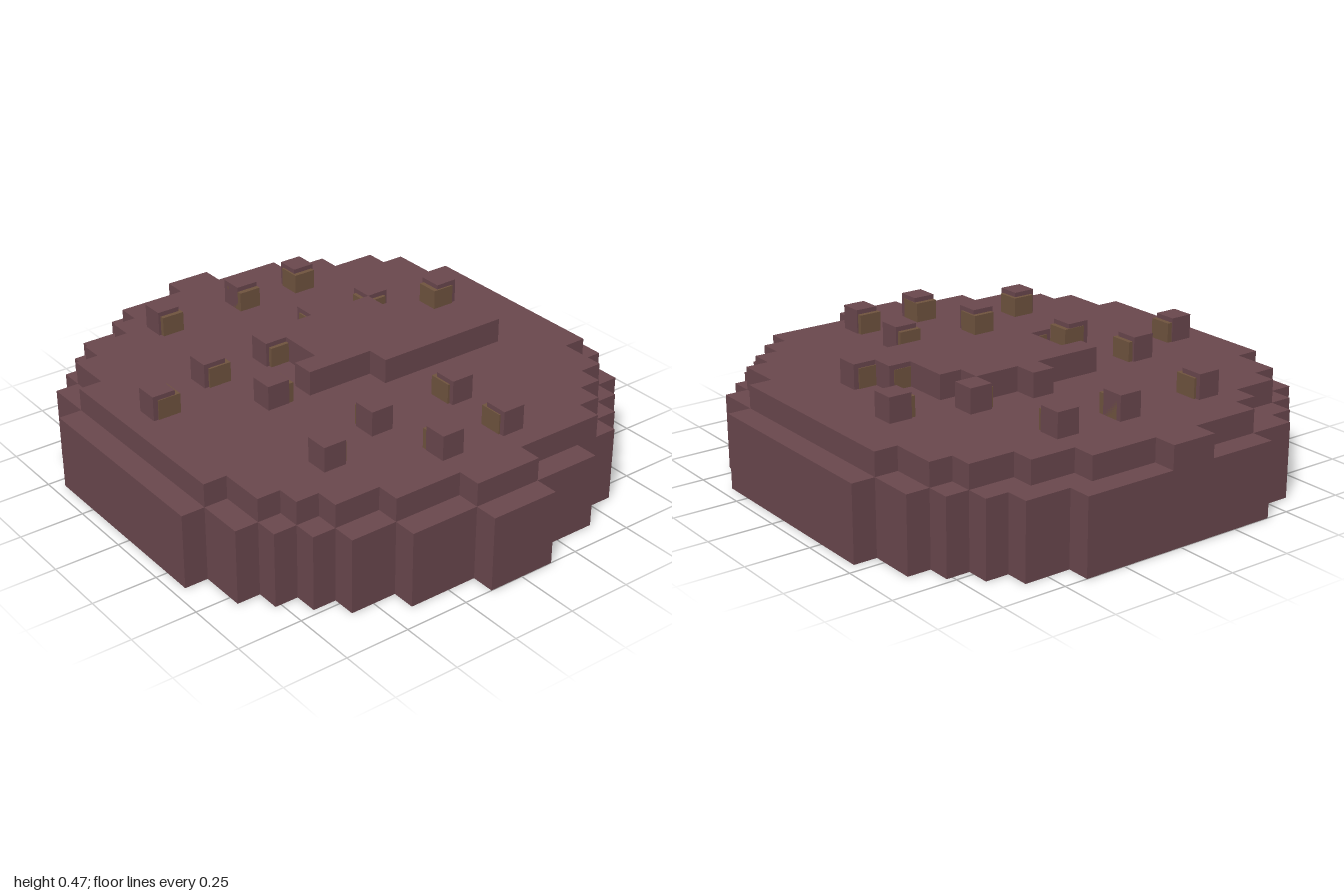
import * as THREE from 'three';

const U = 2 / 22; // size of one block
const LOW = 0.29, MID = 0.38, TOP = 0.475;

const crust = new THREE.MeshStandardMaterial({ color: 0x6b484e });
const chip = new THREE.MeshStandardMaterial({ color: 0x70543f });

// Rows are [zStart, zEnd, xLeft, xRight] in blocks, stacked from back to front.
function slab(name, rows, y0, y1) {
  const pts = [];
  for (const [z0, z1, , r] of rows) pts.push([r, z0], [r, z1]);
  for (const [z0, z1, l] of [...rows].reverse()) pts.push([l, z1], [l, z0]);
  const shape = new THREE.Shape(pts.map(([x, z]) => new THREE.Vector2(x * U, -z * U)));
  const geo = new THREE.ExtrudeGeometry(shape, { depth: y1 - y0, bevelEnabled: false });
  geo.rotateX(-Math.PI / 2).translate(0, y0, 0);
  const mesh = new THREE.Mesh(geo, crust);
  mesh.name = name;
  return mesh;
}

// Inner block, nudged towards the middle and slightly lower than its cap
function innerBlock(x, z) {
  const c = new THREE.Vector3((x + 0.5) * U, 0, (z + 0.5) * U);
  c.addScaledVector(c.clone().normalize(), -0.02);
  const h = TOP - 0.018 - MID;
  const mesh = new THREE.Mesh(new THREE.BoxGeometry(U, h, U), chip);
  mesh.position.set(c.x, MID + h / 2, c.z);
  mesh.name = 'innerBlock';
  return mesh;
}

export function createModel() {
  const model = new THREE.Group();
  model.name = 'blockDisc';

  // Wide lower layer
  model.add(slab('lowerLayer', [
    [-11, -10, -4.5, 4.5], [-10, -9, -6.5, 6.5], [-9, -8, -7.5, 7.5],
    [-8, -7, -8.5, 8.5], [-7, -5, -9.5, 9.5], [-5, 4, -10.5, 10.5],
    [4, 6, -9.5, 9.5], [6, 7, -8.5, 8.5], [7, 8, -7.5, 7.5],
    [8, 9, -6.5, 6.5], [9, 10, -4.5, 4.5], [10, 11, -1.5, 1.5],
  ], 0, LOW));

  // Upper layer, set in by about one block
  model.add(slab('upperLayer', [
    [-11, -10, -1.5, 0.5], [-10, -9, -4.5, 3.5], [-9, -8, -5.5, 5.5],
    [-8, -7, -7.5, 7.5], [-7, -5, -8.5, 8.5], [-5, 4, -9.5, 9.5],
    [4, 6, -8.5, 8.5], [6, 7, -7.5, 7.5], [7, 8, -6.5, 6.5],
    [8, 9, -4.5, 5.5], [9, 10, -1.5, 1.5],
  ], LOW, MID));

  // Raised patch in the middle, with inner blocks showing in its notches
  model.add(slab('centrePatch', [
    [-3, -2, -2.5, 3.5], [-2, 0, -1.5, 4.5], [0, 1, -2.5, 5.5], [1, 2, 0.5, 6.5],
  ], MID, TOP));
  for (const [x, z] of [[-2.5, -3], [-2.5, 0], [4.5, 0], [5.5, 1]]) model.add(innerBlock(x, z));

  // Scattered studs
  const studs = [
    [-4.5, -8], [-0.5, -8], [2.5, -8], [0.5, -4], [3.5, -4], [-5.5, -3], [6 - 0.5 + 0.5 * 2, -3],
    [-8.5, -2], [-4.5, 0], [-2.5, 4], [1.5, 4], [-5.5, 5], [-1.5, 7], [1.5, 7],
  ];
  for (const [x, z] of studs) {
    const stud = new THREE.Group();
    stud.name = 'stud';
    const cap = new THREE.Mesh(new THREE.BoxGeometry(U, TOP - MID, U), crust);
    cap.position.set((x + 0.5) * U, (MID + TOP) / 2, (z + 0.5) * U);
    cap.name = 'studBlock';
    stud.add(cap, innerBlock(x, z));
    model.add(stud);
  }
  return model;
}
